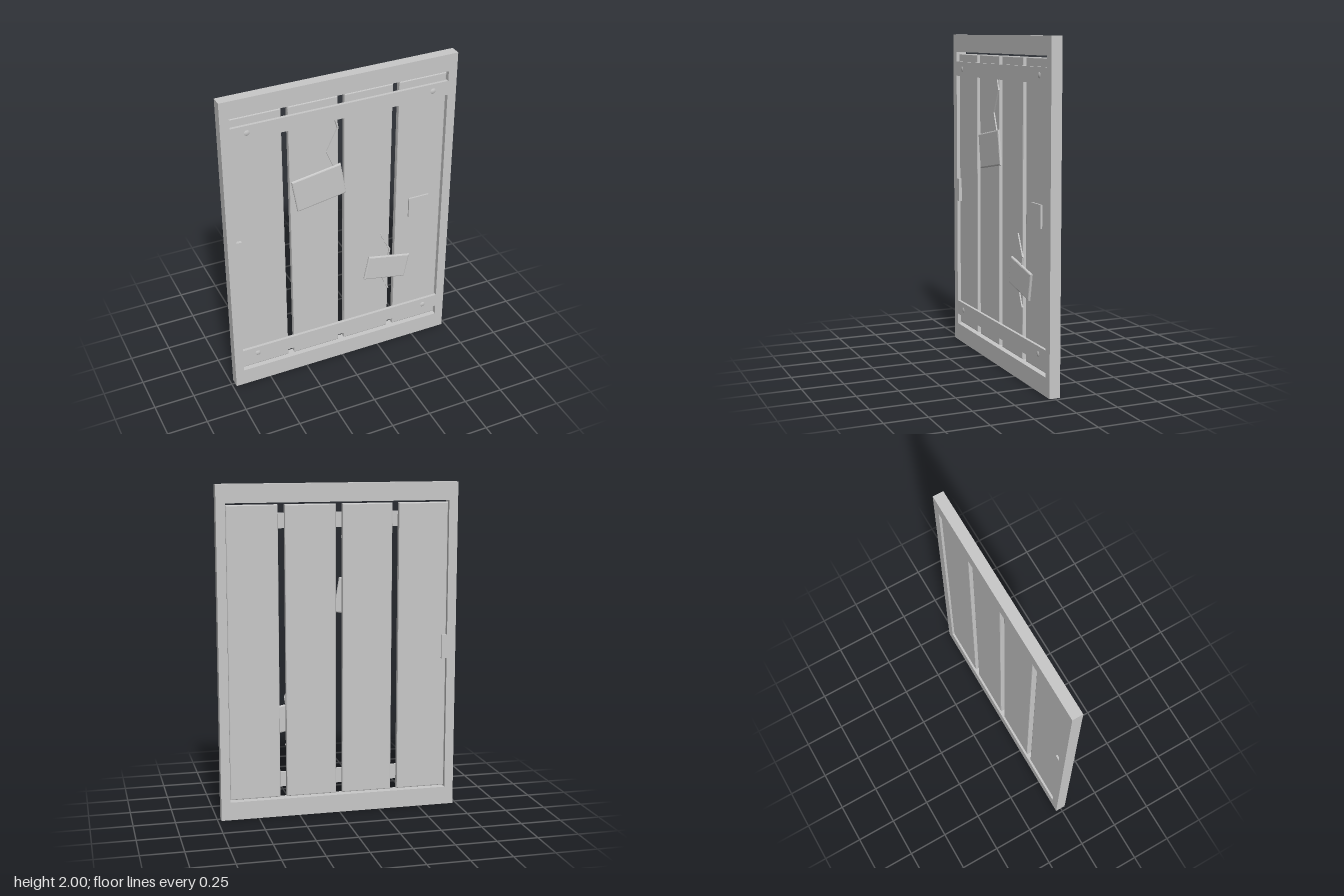
import * as THREE from 'three';

const wood = new THREE.MeshStandardMaterial({ color: 0xc8c8c8 });
wood.name = 'light grey wood';

const polygon = (C, points) => {
  const s = new C();
  points.forEach(([x, y], i) => (i ? s.lineTo(x, y) : s.moveTo(x, y)));
  s.closePath();
  return s;
};
const rect = (a, b) => [[-a, -b], [a, -b], [a, b], [-a, b]];

export function createModel() {
  const group = new THREE.Group();
  const add = (name, geometry, x = 0, y = 0, z = 0, angle = 0) => {
    const mesh = new THREE.Mesh(geometry, wood);
    mesh.name = name;
    mesh.position.set(x, y, z);
    mesh.rotation.z = angle;
    group.add(mesh);
  };

  // Board with chamfered edges, lying between z0 and z1
  const board = (name, w, h, z0, z1, bevel, x, y, angle = 0) => {
    const g = new THREE.ExtrudeGeometry(polygon(THREE.Shape, rect(w / 2 - bevel, h / 2 - bevel)), {
      depth: z1 - z0 - 2 * bevel, bevelEnabled: true,
      bevelThickness: bevel, bevelSize: bevel, bevelSegments: 2,
    });
    g.translate(0, 0, bevel);
    add(name, g, x, y, z0, angle);
  };

  // Outer frame, with a hinge tab reaching into the opening
  const outline = polygon(THREE.Shape, [[-0.728, 0], [0.728, 0], [0.728, 2], [-0.728, 2]]);
  outline.holes.push(polygon(THREE.Path, [
    [-0.673, 0.11], [0.673, 0.11], [0.673, 1.892], [-0.673, 1.892],
    [-0.673, 1.075], [-0.639, 1.075], [-0.639, 0.93], [-0.673, 0.93],
  ]));
  add('frame', new THREE.ExtrudeGeometry(outline, { depth: 0.065, bevelEnabled: false }), 0, 0, -0.035);

  // Four upright planks
  for (let i = 0; i < 4; i++) {
    board('plank', 0.305, 1.76, -0.024, 0.012, 0.006, -0.5175 + i * 0.345, 1);
  }

  // Cross bars, flush with the frame, with shallow domed nails
  const dome = new THREE.SphereGeometry(0.04, 16, 4, 0, Math.PI * 2, 0, 0.45);
  dome.rotateX(Math.PI / 2);
  for (const y of [0.22, 1.785]) {
    add('crossBar', new THREE.BoxGeometry(1.346, 0.09, 0.02), 0, y, 0.02);
    for (const x of [-0.575, 0.575]) add('nail', dome, x, y, -0.006);
  }

  // Repair patches
  board('upperPatch', 0.315, 0.212, 0.008, 0.027, 0.008, -0.146, 1.313, 0.163);
  board('lowerPatch', 0.288, 0.165, 0.008, 0.027, 0.008, 0.308, 0.603, -0.2);

  // Latch plate
  add('latchPlate', new THREE.BoxGeometry(0.135, 0.135, 0.016), 0.5175, 1.0025, 0.015);

  // Raised split lines in the planks
  const split = (points) => {
    for (let i = 1; i < points.length; i++) {
      const [x0, y0] = points[i - 1], [x1, y1] = points[i];
      add('split', new THREE.BoxGeometry(Math.hypot(x1 - x0, y1 - y0), 0.009, 0.012),
        (x0 + x1) / 2, (y0 + y1) / 2, 0.014, Math.atan2(y1 - y0, x1 - x0));
    }
  };
  split([[-0.043, 1.745], [-0.024, 1.68], [-0.093, 1.54], [-0.045, 1.42]]);
  split([[0.265, 0.86], [0.328, 0.73], [0.32, 0.68]]);
  split([[0.275, 0.54], [0.323, 0.43]]);

  return group;
}
